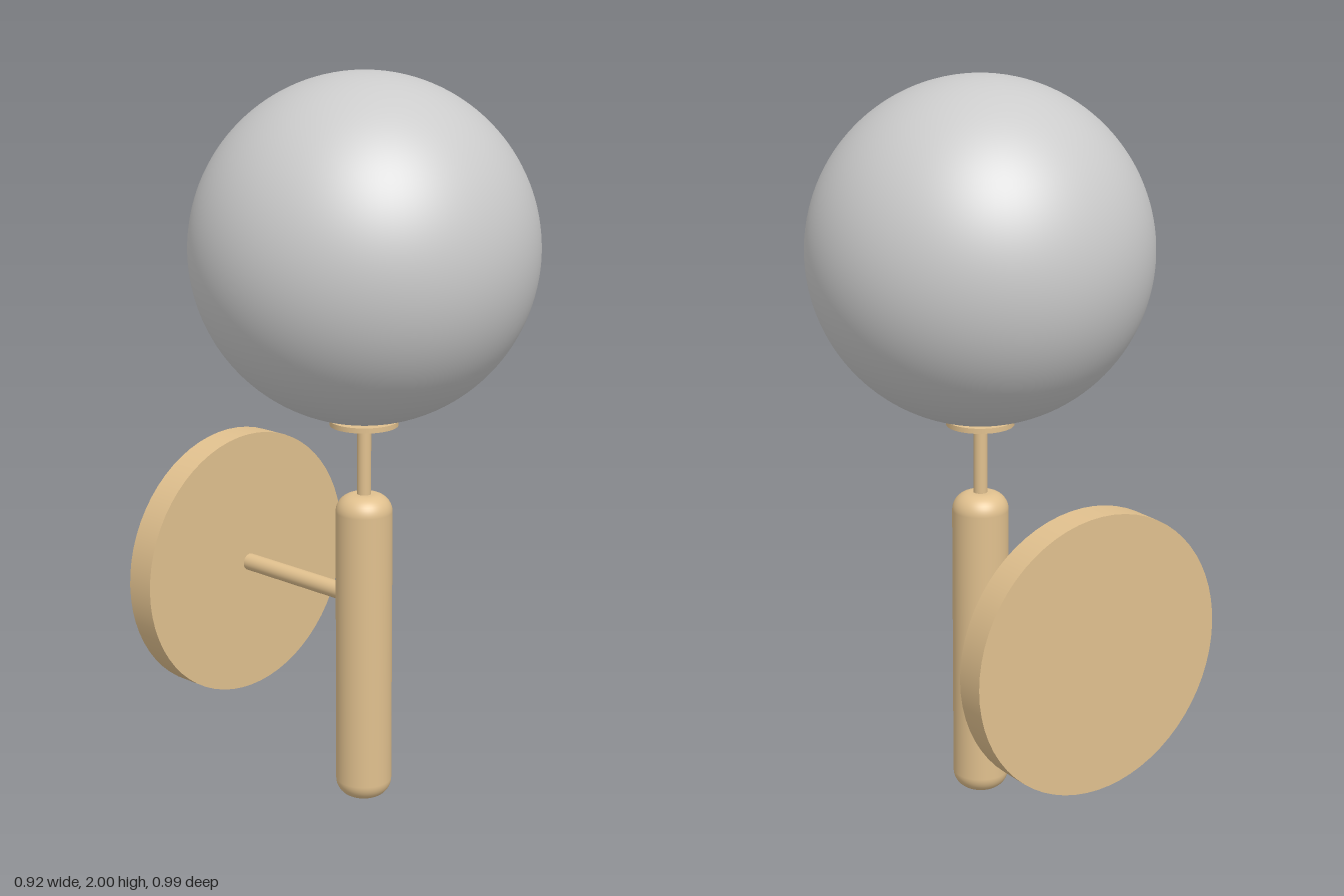
import * as THREE from 'three';

export function createModel() {
  const group = new THREE.Group();
  const brass = new THREE.MeshStandardMaterial({ color: 0xe0c08e });
  const glass = new THREE.MeshStandardMaterial({ color: 0xcccccc });
  const axisZ = 0.035; // depth of the lamp's vertical axis

  const add = (name, geometry, material, x, y, z) => {
    const mesh = new THREE.Mesh(geometry, material);
    mesh.name = name;
    mesh.position.set(x, y, z);
    group.add(mesh);
    return mesh;
  };
  const rod = (radius, length) => new THREE.CylinderGeometry(radius, radius, length, 64);

  // Globe shade resting on a thin holder disc
  add('globeShade', new THREE.SphereGeometry(0.46, 96, 64), glass, 0, 1.54, axisZ);
  add('shadeHolder', rod(0.092, 0.014), brass, 0, 1.074, axisZ);
  add('stem', rod(0.019, 0.24), brass, 0, 0.96, axisZ);

  // Upright body with rounded ends
  const radius = 0.077, height = 0.875, round = 0.05;
  const profile = [new THREE.Vector2(0, 0)];
  const addCorner = (cy, start) => {
    for (let i = 0; i <= 10; i++) {
      const a = start + (i / 10) * Math.PI / 2;
      profile.push(new THREE.Vector2(radius - round + round * Math.cos(a), cy + round * Math.sin(a)));
    }
  };
  addCorner(round, -Math.PI / 2);
  addCorner(height - round, 0);
  profile.push(new THREE.Vector2(0, height));
  add('body', new THREE.LatheGeometry(profile, 64), brass, 0, 0, axisZ);

  // Horizontal arm back to the round wall plate
  add('arm', rod(0.024, 0.45).rotateX(Math.PI / 2), brass, 0, 0.577, -0.2);
  add('wallPlate', rod(0.378, 0.083).rotateX(Math.PI / 2), brass, 0, 0.577, -0.4565);

  return group;
}
